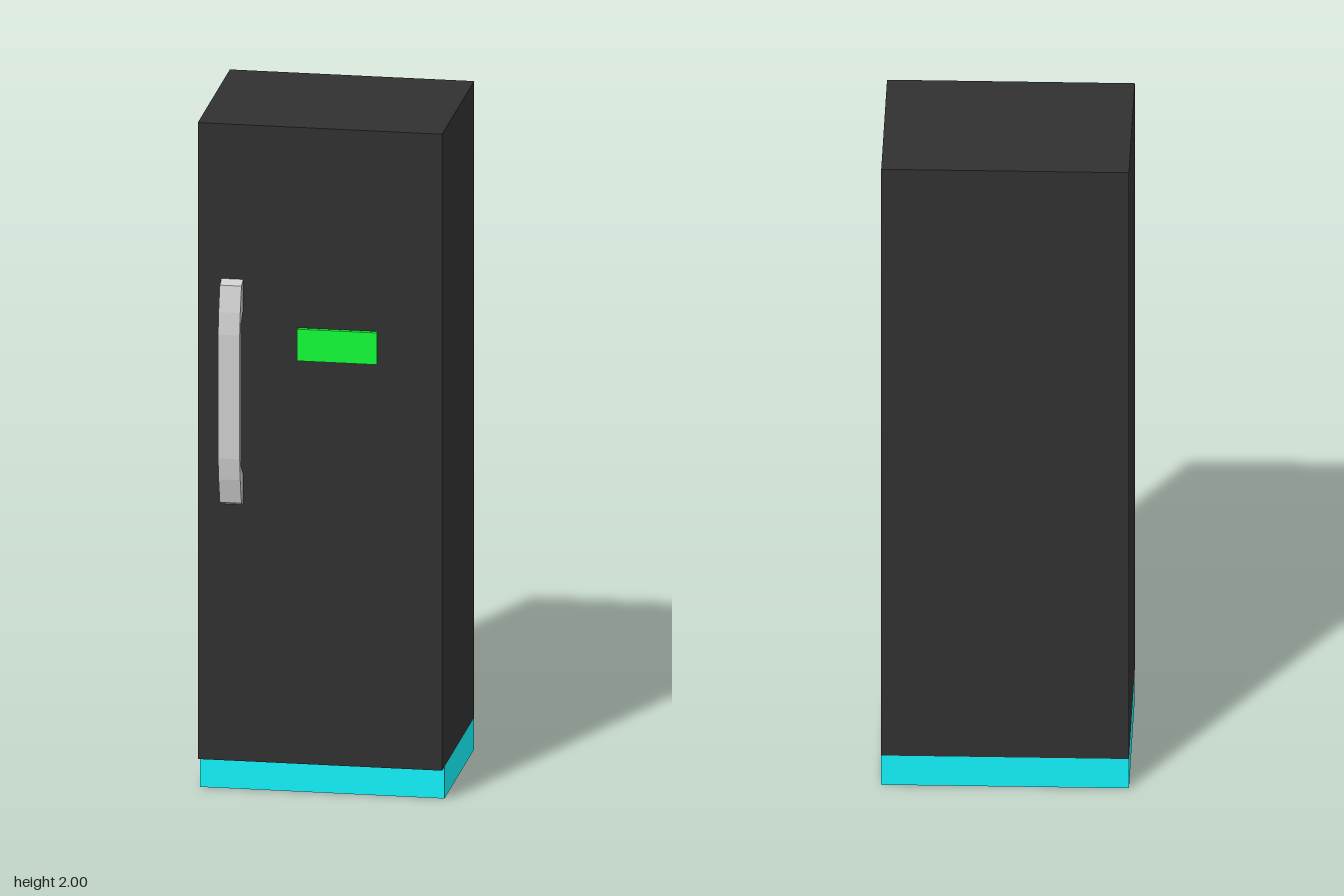
import * as THREE from 'three';

const material = (color) => new THREE.MeshStandardMaterial({ color, flatShading: true });

// Box given by its minimum and maximum corners
function box(name, min, max, mat) {
  const size = max.map((v, i) => v - min[i]);
  const mesh = new THREE.Mesh(new THREE.BoxGeometry(...size), mat);
  mesh.position.set(...max.map((v, i) => (v + min[i]) / 2));
  mesh.name = name;
  return mesh;
}

// Bracket handle: side profile (depth, height) extruded across its width
function handle(mat) {
  const halfOutline = [[0.246, 0.337], [0.274, 0.325], [0.295, 0.25], [0.304, 0.185]];
  const halfInner = [[0.278, 0.215], [0.246, 0.245]];
  const flip = (points) => points.map(([z, y]) => [z, -y]).reverse();
  const profile = [...flip(halfOutline).reverse(), ...[...halfOutline].reverse(),
    ...[...halfInner].reverse(), ...flip(halfInner).reverse()];
  const shape = new THREE.Shape(profile.map(([z, y]) => new THREE.Vector2(z, y)));
  const geometry = new THREE.ExtrudeGeometry(shape, { depth: 0.063, bevelEnabled: false });
  geometry.rotateY(-Math.PI / 2);
  const mesh = new THREE.Mesh(geometry, mat);
  mesh.position.set(-0.224, 1.2, 0);
  mesh.name = 'doorHandle';
  return mesh;
}

export function createModel() {
  const model = new THREE.Group();
  model.name = 'refrigerator';
  model.add(
    // Plinth, set back from the front
    box('base', [-0.356, 0, -0.304], [0.356, 0.095, 0.206], material(0x12f0f8)),
    // Main body
    box('cabinet', [-0.356, 0.095, -0.304], [0.356, 2, 0.246], material(0x303030)),
    // Panel on the door
    box('displayPanel', [-0.064, 1.305, 0.24], [0.168, 1.4, 0.26], material(0x12fa38)),
    handle(material(0xcccccc)),
  );
  return model;
}
